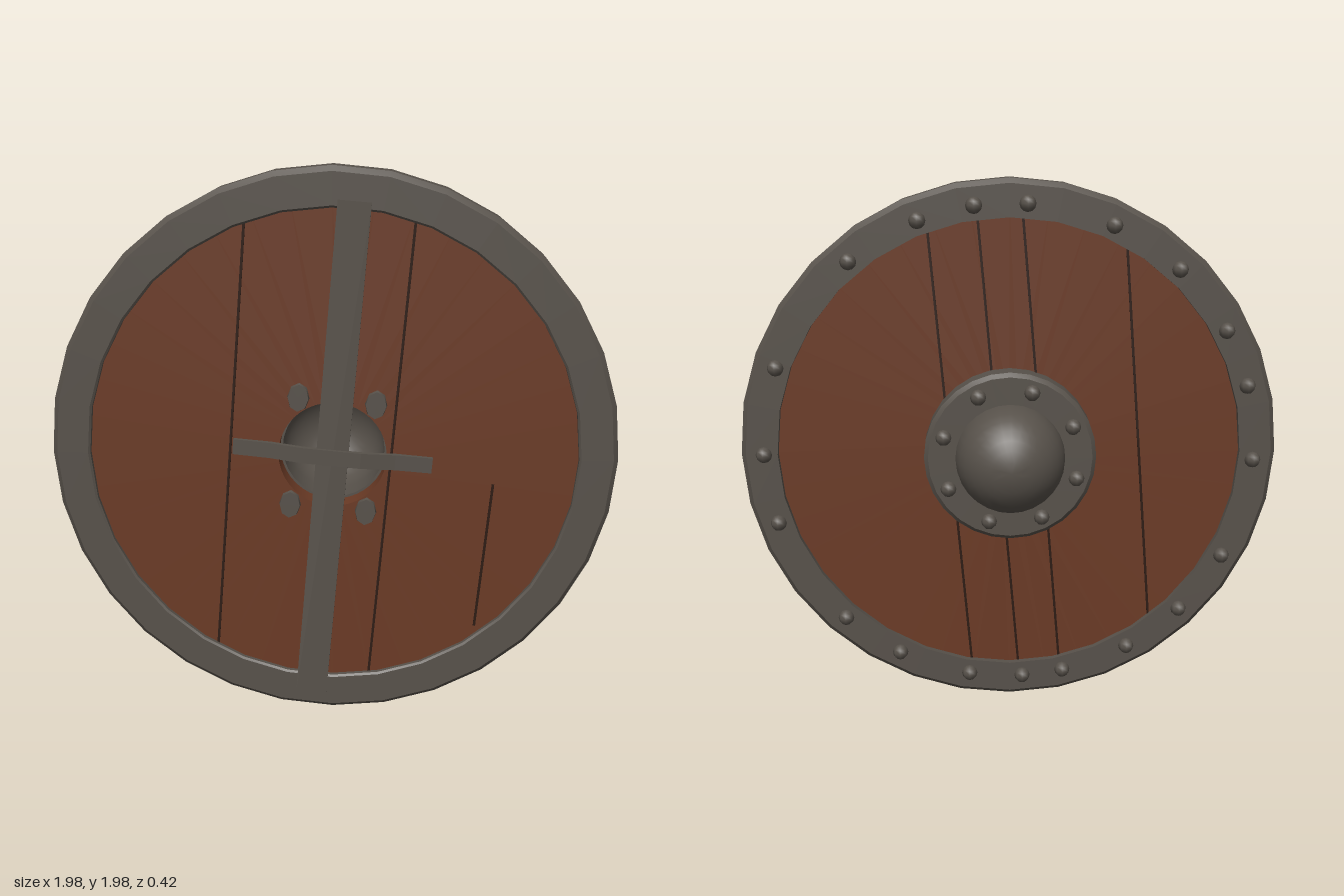
import * as THREE from 'three';
import { toCreasedNormals } from 'three/addons/utils/BufferGeometryUtils.js';

const wood = new THREE.MeshStandardMaterial({ color: 0x6a3a25 });
wood.name = 'wood';
const iron = new THREE.MeshStandardMaterial({ color: 0x57514a });
iron.name = 'iron';
const gap = new THREE.MeshStandardMaterial({ color: 0x2c1a12 });
gap.name = 'dark gap';

function add(parent, name, geometry, material, x = 0, y = 0, z = 0) {
  const mesh = new THREE.Mesh(geometry, material);
  mesh.name = name;
  mesh.position.set(x, y, z);
  parent.add(mesh);
  return mesh;
}

// Revolve [radius, z] points around the z axis, keeping sharp edges
function turned(points, segments) {
  const g = new THREE.LatheGeometry(points.map(p => new THREE.Vector2(p[0], p[1])), segments);
  g.rotateX(Math.PI / 2);
  return toCreasedNormals(g, 0.45);
}

export function createModel() {
  const model = new THREE.Group();
  model.name = 'roundShield';
  const shield = new THREE.Group();
  shield.name = 'shieldBody';
  shield.position.y = 1.005;
  model.add(shield);

  // Wooden disc with the hand hole
  add(shield, 'boards', turned([
    [0.19, 0.085], [0.92, 0.085], [0.92, 0.165], [0.19, 0.165], [0.19, 0.085],
  ], 40), wood);

  // Iron rim
  add(shield, 'rim', turned([
    [0.855, 0.062], [0.972, 0.062], [0.99, 0.08], [0.99, 0.168], [0.972, 0.186],
    [0.862, 0.186], [0.855, 0.18], [0.855, 0.062],
  ], 32), iron);

  // Hollow boss: dome, flange, inner bowl
  const boss = [];
  for (let i = 0; i <= 8; i++) {
    const a = (i / 8) * Math.PI / 2;
    boss.push([0.2 * Math.sin(a), -0.01 - 0.2 * Math.cos(a)]);
  }
  boss.push([0.3, -0.01], [0.315, 0.005], [0.315, 0.09], [0.182, 0.09]);
  for (let i = 8; i >= 0; i--) {
    const a = (i / 8) * Math.PI / 2;
    boss.push([0.182 * Math.sin(a), -0.01 - 0.182 * Math.cos(a)]);
  }
  add(shield, 'boss', turned(boss, 28), iron);

  // Rivets on the rim and the boss flange
  const rivet = new THREE.SphereGeometry(0.03, 8, 6);
  const rimAngles = [111, 98, 86, 66, 48, 30, 16, -2, -27, -44, -60, -77, -87, -100, -118, -134,
    -163, 180, 159, 129];
  for (const degrees of rimAngles) {
    const a = degrees * Math.PI / 180;
    add(shield, 'rimRivet', rivet, iron, -0.905 * Math.cos(a), 0.905 * Math.sin(a), 0.058);
  }
  for (let i = 0; i < 8; i++) {
    const a = (i + 0.4) * Math.PI / 4;
    add(shield, 'bossRivet', rivet, iron, 0.255 * Math.cos(a), 0.255 * Math.sin(a), -0.008);
  }

  // Everything that follows the slightly tilted plank direction
  const tilted = new THREE.Group();
  tilted.name = 'tiltedParts';
  tilted.rotation.z = -0.085;
  shield.add(tilted);

  // Plank seams
  const seam = (x, y0, y1, z) => add(tilted, 'plankSeam',
    new THREE.BoxGeometry(0.009, y1 - y0, 0.004), gap, x, (y0 + y1) / 2, z);
  for (const x of [-0.36, 0.205]) {
    const end = Math.sqrt(0.855 ** 2 - x * x);
    seam(x, -end, end, 0.1655);
  }
  seam(0.57, -0.6, -0.05, 0.1655);
  for (const x of [-0.48, -0.12, 0.04, 0.22]) {
    const end = Math.sqrt(0.855 ** 2 - x * x);
    const start = Math.sqrt(Math.max(0, 0.3 ** 2 - x * x));
    seam(x, start, end, 0.0845);
    seam(x, -end, -start, 0.0845);
  }

  // Long vertical brace
  add(tilted, 'verticalBrace', new THREE.BoxGeometry(0.112, 1.81, 0.035), iron, 0, -0.025, 0.174);

  // Bowed hand grip: an arched strip extruded along its width
  const arch = new THREE.Shape();
  arch.moveTo(-0.35, 0.162);
  arch.lineTo(-0.22, 0.165);
  arch.lineTo(-0.1, 0.186);
  arch.lineTo(0.1, 0.186);
  arch.lineTo(0.22, 0.165);
  arch.lineTo(0.35, 0.162);
  arch.lineTo(0.35, 0.18);
  arch.lineTo(0.22, 0.184);
  arch.lineTo(0.1, 0.206);
  arch.lineTo(-0.1, 0.206);
  arch.lineTo(-0.22, 0.184);
  arch.lineTo(-0.35, 0.18);
  const grip = new THREE.ExtrudeGeometry(arch, { depth: 0.055, bevelEnabled: false });
  grip.rotateX(Math.PI / 2);
  // the turn sends shape y to z and the depth to -y
  add(tilted, 'handGrip', grip, iron, 0, 0.0275, 0);

  // Four clinched tabs around the hole
  const tab = new THREE.CylinderGeometry(0.036, 0.04, 0.02, 8);
  tab.rotateX(Math.PI / 2);
  tab.scale(1, 1.35, 1);
  for (const sx of [-1, 1]) {
    for (const sy of [-1, 1]) add(tilted, 'tab', tab, iron, sx * 0.135, sy * 0.197, 0.168);
  }

  return model;
}
